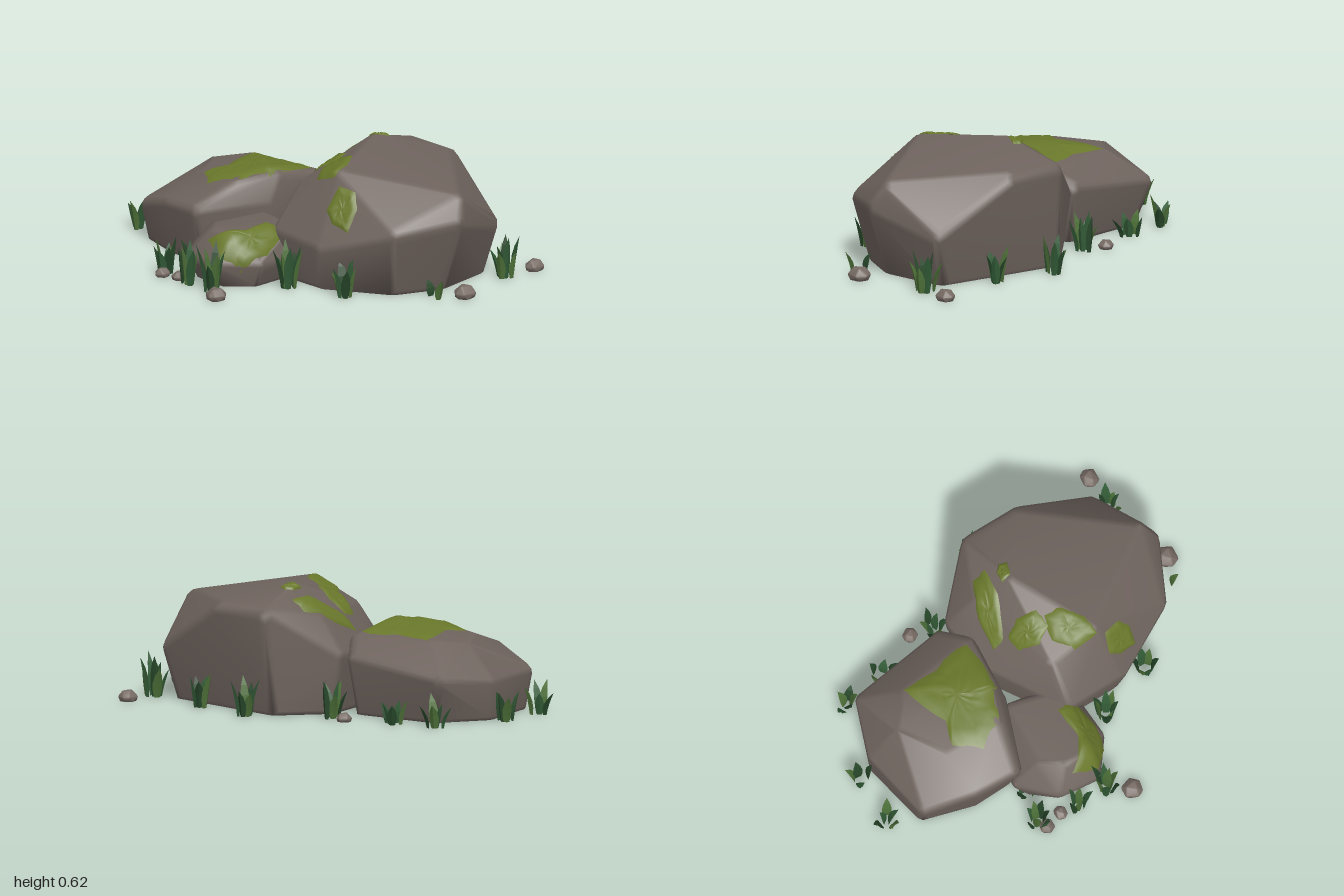
import * as THREE from 'three';
import { mergeVertices, mergeGeometries } from 'three/addons/utils/BufferGeometryUtils.js';
import { ConvexGeometry } from 'three/addons/geometries/ConvexGeometry.js';

const V = (x, y, z) => new THREE.Vector3(x, y, z);
const material = (name, color, side = THREE.FrontSide) => {
  const m = new THREE.MeshStandardMaterial({ color, side });
  m.name = name;
  return m;
};

// Small seeded random number source
function seeded(seed) {
  return () => {
    seed = (seed * 16807) % 2147483647;
    return seed / 2147483647;
  };
}

// Convex stone: corners are drawn in by r, then rounded by a ball of radius r; the base stays flat
function stoneGeometry(corners, r) {
  const pts = corners.map(c => V(...c));
  const box = new THREE.Box3().setFromPoints(pts);
  const mid = box.getCenter(V(0, 0, 0)), size = box.getSize(V(0, 0, 0));
  const ball = mergeVertices(new THREE.IcosahedronGeometry(r, 1).deleteAttribute('uv').deleteAttribute('normal'));
  const bp = ball.attributes.position;
  const cloud = [];
  for (const p of pts) {
    const inner = V(
      mid.x + (p.x - mid.x) * (1 - 2 * r / size.x),
      0.3 * r + p.y * (1 - 1.3 * r / size.y),
      mid.z + (p.z - mid.z) * (1 - 2 * r / size.z));
    for (let i = 0; i < bp.count; i++) {
      const q = V(0, 0, 0).fromBufferAttribute(bp, i).add(inner);
      q.y = Math.max(q.y, 0);
      cloud.push(q);
    }
  }
  const hull = new ConvexGeometry(cloud);
  hull.deleteAttribute('normal');
  const g = mergeVertices(hull, 1e-4);
  g.computeVertexNormals();
  return g;
}

// Moss sheet: an outline seen along dir (u right, v down), dropped onto a stone
function mossGeometry(stone, center, dir, outline, rand) {
  const d = V(...dir).normalize(), c = V(...center);
  const u = V(1, 0, 0).addScaledVector(d, -d.x).normalize();
  const v = u.clone().cross(d);
  const ray = new THREE.Raycaster();
  const drop = (a, b, lift) => {
    for (let k = 1; k >= 0; k -= 0.05) {
      const from = c.clone().addScaledVector(u, a * k).addScaledVector(v, b * k).addScaledVector(d, 2);
      ray.set(from, d.clone().negate());
      const hit = ray.intersectObject(stone)[0];
      if (hit) return hit.point.addScaledVector(hit.face.normal, lift);
    }
    return c.clone();
  };
  const rings = 6, per = 4, n = outline.length * per, pos = [], idx = [];
  pos.push(...drop(0, 0, 0.01).toArray());
  for (let k = 1; k <= rings; k++) {
    for (let i = 0; i < n; i++) {
      const p = outline[Math.floor(i / per)], q = outline[(Math.floor(i / per) + 1) % outline.length];
      const t = (i % per) / per;
      const s = k / rings * (k === rings ? 0.96 + rand() * 0.08 : 1);
      const lift = k === rings ? 0.001 : 0.006 + rand() * 0.006;
      pos.push(...drop((p[0] + (q[0] - p[0]) * t) * s, (p[1] + (q[1] - p[1]) * t) * s, lift).toArray());
      const a = 1 + (k - 1) * n + i, b = 1 + (k - 1) * n + (i + 1) % n;
      if (k === 1) idx.push(0, b, a);
      else idx.push(a - n, b - n, a, b - n, b, a);
    }
  }
  const g = new THREE.BufferGeometry();
  g.setAttribute('position', new THREE.Float32BufferAttribute(pos, 3));
  g.setIndex(idx);
  g.computeVertexNormals();
  return g;
}

// Leaf-shaped three-sided blade that bends outward towards its tip
function bladeGeometry(x, z, h, w, lean, angle) {
  const g = new THREE.ConeGeometry(1, 1, 3, 4, true).translate(0, 0.5, 0);
  const p = g.attributes.position;
  const ca = Math.cos(angle), sa = Math.sin(angle);
  const widths = [0.6, 0.95, 1, 0.7, 0];
  for (let i = 0; i < p.count; i++) {
    const t = p.getY(i), shrink = Math.max(1 - t, 1e-6);
    const wide = w * widths[Math.round(t * 4)];
    const side = p.getX(i) / shrink * wide;
    const out = p.getZ(i) / shrink * wide * 0.4 + lean * t * t;
    p.setXYZ(i, x + out * ca + side * sa, t * h, z + out * sa - side * ca);
  }
  const flat = g.toNonIndexed();
  flat.computeVertexNormals();
  return flat;
}

export function createModel() {
  const group = new THREE.Group();
  const rock = material('rock', 0x6e635d);
  const pebbleMat = material('pebble', 0x776b64);
  const moss = material('moss', 0x69782b, THREE.DoubleSide);
  const greens = [['darkGrass', 0x27472a], ['midGrass', 0x335c37], ['lightGrass', 0x4d7038]]
    .map(([name, color]) => material(name, color, THREE.DoubleSide));
  const rand = seeded(4711);
  const add = (name, geometry, mat) => {
    const m = new THREE.Mesh(geometry, mat);
    m.name = name;
    group.add(m);
    return m;
  };

  // Boulders
  const large = add('largeBoulder', stoneGeometry([
    [0, 0, -0.59], [0.68, 0, -0.55], [0.77, 0, -0.22], [0.7, 0, 0.02], [0.38, 0, 0.25], [0.1, 0, 0.27],
    [-0.12, 0, -0.05], [-0.18, 0, -0.36],
    [0.9, 0.39, -0.24], [0.85, 0.48, -0.29], [0.74, 0.27, -0.6], [0.32, 0.53, -0.66], [0.02, 0.53, -0.64],
    [0.1, 0.62, -0.33], [0.36, 0.57, 0.11], [0.1, 0.46, 0.14], [-0.08, 0.48, -0.35],
    [0.1, 0.24, 0.32], [0.41, 0.22, 0.29], [0.77, 0.34, 0.08], [-0.17, 0.28, -0.07], [-0.23, 0.3, -0.36],
  ], 0.065), rock);
  const medium = add('mediumBoulder', stoneGeometry([
    [-0.72, 0, -0.2], [-0.26, 0, -0.28], [-0.15, 0, 0.1], [-0.29, 0, 0.44], [-0.5, 0, 0.46], [-0.78, 0, 0.4], [-0.87, 0, 0.05],
    [-0.88, 0.19, 0.05], [-0.79, 0.19, 0.44], [-0.5, 0.28, 0.51], [-0.27, 0.29, 0.51], [-0.15, 0.3, 0.13],
    [-0.79, 0.23, -0.25], [-0.25, 0.3, -0.34], [-0.15, 0.38, -0.22], [-0.17, 0.435, 0.05],
    [-0.72, 0.36, 0.04], [-0.6, 0.38, -0.13], [-0.24, 0.4, 0.28], [-0.55, 0.36, 0.28],
  ], 0.055), rock);
  const small = add('smallBoulder', stoneGeometry([
    [-0.22, 0, 0.1], [-0.26, 0, 0.52], [-0.12, 0, 0.6], [0.07, 0, 0.6], [0.17, 0, 0.48], [0.12, 0, 0.1],
    [-0.31, 0.1, 0.5], [-0.14, 0.13, 0.66], [0.08, 0.13, 0.67], [0.21, 0.12, 0.48], [0.18, 0.13, 0.2],
    [-0.17, 0.24, 0.14], [-0.17, 0.25, 0.5], [-0.06, 0.27, 0.58], [0.08, 0.26, 0.57], [0.12, 0.26, 0.2],
  ], 0.05), rock);

  // Moss: stone, centre, viewing direction, outline
  const patches = [
    [large, [-0.04, 0.5, -0.25], [0, 1, 0], [[0, -0.16], [0.07, -0.17], [0.07, -0.03], [0, 0.15], [-0.06, 0.16], [-0.06, 0]]],
    [large, [0.07, 0.53, -0.05], [0, 1, 0], [[-0.09, -0.04], [-0.02, -0.08], [0.08, -0.06], [0.1, 0.03], [0.02, 0.08], [-0.07, 0.04]]],
    [large, [0.25, 0.54, 0.04], [0, 1, 0], [[-0.08, -0.11], [0.01, -0.1], [0.09, 0], [0.11, 0.09], [-0.02, 0.1], [-0.1, 0.01]]],
    [large, [0.46, 0.4, 0.15], [0.1, 0.4, 0.9], [[-0.06, -0.1], [0.03, -0.1], [0.08, -0.02], [0.08, 0.1], [-0.02, 0.08], [-0.08, 0.03]]],
    [large, [0.1, 0.61, -0.35], [0, 1, 0], [[0, -0.05], [0.04, -0.04], [0.02, 0.03], [-0.03, 0.04], [-0.03, -0.02]]],
    [medium, [-0.38, 0.41, 0.04], [0, 1, 0], [[-0.22, -0.16], [-0.02, -0.16], [0.04, -0.2], [0.18, -0.22], [0.21, 0.05],
      [0.16, 0.08], [0.13, 0.2], [-0.01, 0.29], [-0.14, 0.21], [-0.11, 0.09]]],
    [small, [0.1, 0.22, 0.46], [0.5, 0.8, 0.2], [[-0.05, -0.17], [0.06, -0.17], [0.11, -0.02], [0.1, 0.13], [0, 0.18], [-0.14, 0.15], [-0.05, 0]]],
  ];
  for (const [stone, c, d, outline] of patches) add('mossPatch', mossGeometry(stone, c, d, outline, rand), moss);

  // Pebbles: x, z, radius
  const pebbles = [[0.81, -0.765, 0.048], [0.945, -0.22, 0.055], [0.21, 0.76, 0.052], [-0.36, -0.47, 0.038], [-0.25, 0.73, 0.038], [-0.16, 0.7, 0.036]];
  for (const [x, z, r] of pebbles) {
    const corners = [];
    for (let i = 0; i < 6; i++) {
      const a = i * Math.PI / 3 + rand() * 0.5;
      corners.push([Math.cos(a) * r * 0.85, 0, Math.sin(a) * r * 0.85]);
      corners.push([Math.cos(a + 0.3) * r * 1.05, r * 0.5, Math.sin(a + 0.3) * r * 1.05]);
      if (i % 2) corners.push([Math.cos(a) * r * 0.6, r * 1.12, Math.sin(a) * r * 0.6]);
    }
    add('pebble', stoneGeometry(corners, r * 0.25), pebbleMat).position.set(x, 0, z);
  }

  // Grass tufts: x, z, height, blades
  const tufts = [
    [-0.94, 0.07, 0.18, 4], [-0.93, 0.33, 0.17, 5], [-0.81, -0.3, 0.17, 5], [-0.58, -0.36, 0.16, 5], [-0.25, -0.44, 0.2, 7],
    [0.1, -0.68, 0.2, 6], [0.43, -0.66, 0.2, 5], [0.8, -0.58, 0.22, 8], [0.86, -0.1, 0.11, 2], [0.57, 0.24, 0.2, 6],
    [0.28, 0.37, 0.25, 8], [0.1, 0.69, 0.26, 7], [-0.28, 0.68, 0.2, 7], [-0.07, 0.71, 0.22, 5], [-0.27, 0.53, 0.14, 3],
  ];
  tufts.forEach(([x, z, h, count], tuft) => {
    const blades = [[], [], []];
    for (let i = 0; i < count; i++) {
      const a = i / count * Math.PI * 2 + rand() * 0.6, s = 0.01 + rand() * 0.035;
      blades[(i + tuft) % 3].push(bladeGeometry(x + Math.cos(a) * s, z + Math.sin(a) * s,
        h * (0.6 + rand() * 0.4), 0.022 + rand() * 0.008, 0.02 + rand() * 0.03, a));
    }
    blades.forEach((list, k) => list.length && add('grassTuft', mergeGeometries(list), greens[k]));
  });
  return group;
}
